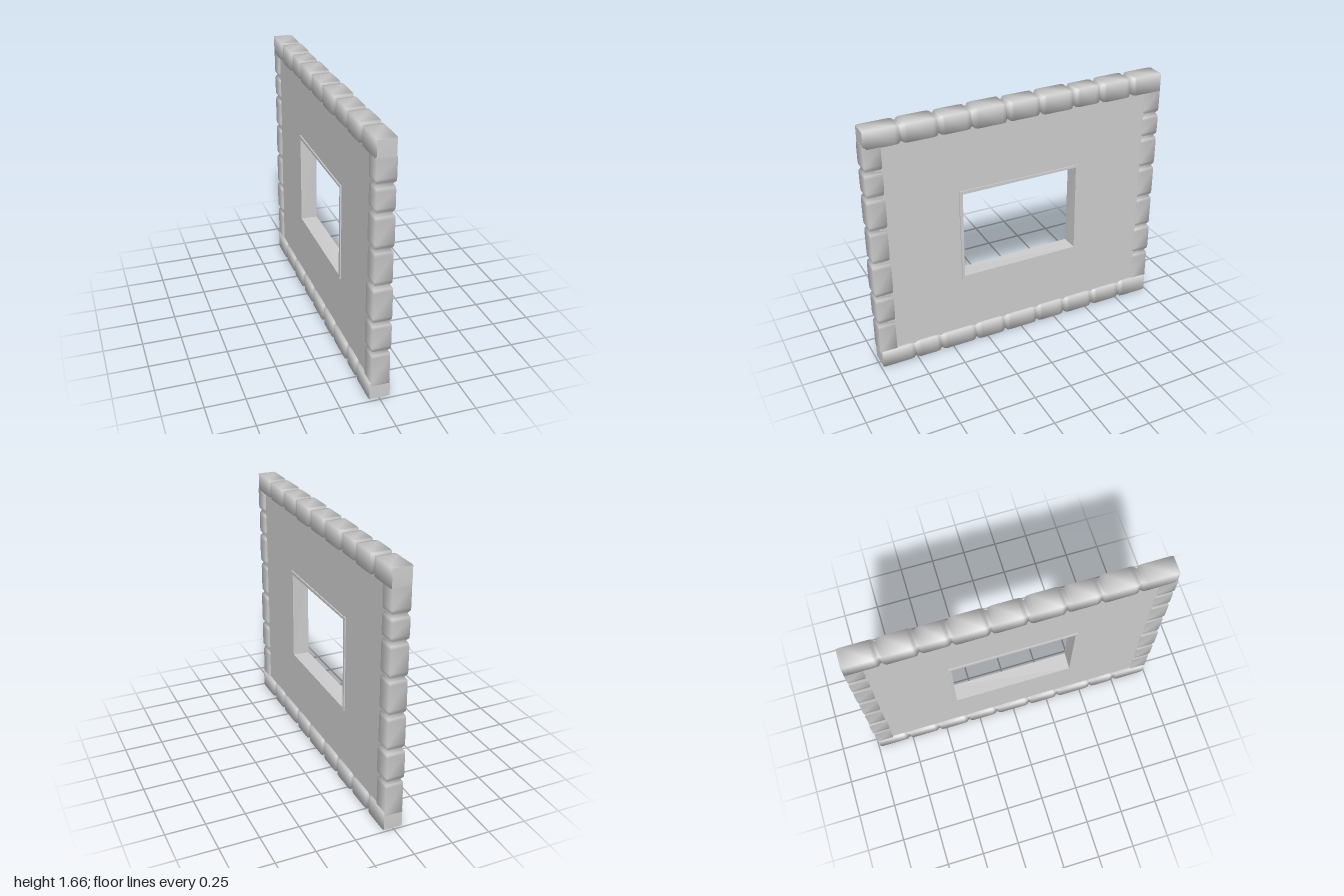
import * as THREE from 'three';

const material = new THREE.MeshStandardMaterial({ color: 0xcccccc, side: THREE.DoubleSide });

// Small seeded wobble for the hand-hewn look
let seed = 7;
const wobble = (a) => {
  seed = (seed * 16807) % 2147483647;
  return (seed / 2147483647 - 0.5) * 2 * a;
};

// Square log running along +y from 0 to length, notched at each joint.
// Section is w (x) by d (z); one shared ring of corners keeps the sides softly shaded.
function logGeometry(w, d, length, joints) {
  const rings = [];
  const stops = [0, ...joints, length];
  for (let i = 0; i < stops.length - 1; i++) {
    const a = stops[i], b = stops[i + 1];
    const hw = w / 2 + wobble(0.003), hd = d / 2 + wobble(0.003);
    const from = i === 0 ? a : a + 0.017;
    const to = i === stops.length - 2 ? b : b - 0.017;
    rings.push([from, hw - 0.002, hd - 0.002], [from + 0.02, hw, hd]);
    rings.push([to - 0.02, hw, hd], [to, hw - 0.002, hd - 0.002]);
    if (i < stops.length - 2) rings.push([b, w / 2 - 0.014, d / 2 - 0.014]);
  }
  const pos = [], index = [];
  const corners = [[1, 1], [1, -1], [-1, -1], [-1, 1]];
  const addRing = ([y, hw, hd]) => corners.forEach(([sx, sz]) => pos.push(sx * hw, y, sz * hd));
  rings.forEach(addRing);
  for (let r = 0; r < rings.length - 1; r++) {
    for (let k = 0; k < 4; k++) {
      const a = r * 4 + k, b = r * 4 + (k + 1) % 4;
      index.push(a, b, b + 4, a, b + 4, a + 4);
    }
  }
  // Slightly crowned end caps with their own corners
  [[rings[0], -0.004], [rings[rings.length - 1], 0.004]].forEach(([ring, crown]) => {
    const s = pos.length / 3;
    addRing(ring);
    pos.push(0, ring[0] + crown, 0);
    for (let k = 0; k < 4; k++) {
      const a = s + k, b = s + (k + 1) % 4;
      if (crown > 0) index.push(a, b, s + 4);
      else index.push(b, a, s + 4);
    }
  });
  const g = new THREE.BufferGeometry();
  g.setAttribute('position', new THREE.Float32BufferAttribute(pos, 3));
  g.setIndex(index);
  g.computeVertexNormals();
  return g;
}

export function createModel() {
  const group = new THREE.Group();
  const add = (name, geometry) => {
    const mesh = new THREE.Mesh(geometry, material);
    mesh.name = name;
    group.add(mesh);
    return mesh;
  };

  // Horizontal beams, running along z
  const beam = (name, w, y, joints) => {
    const half = 0.988;
    const g = logGeometry(w, 0.118, half * 2, joints.map((z) => z + half));
    g.rotateX(Math.PI / 2);
    g.translate(0, y, -half);
    add(name, g);
  };
  beam('bottomBeam', 0.13, 0.06, [-0.77, -0.55, -0.33, -0.12, 0.12, 0.33, 0.58, 0.76]);
  beam('topBeam', 0.122, 1.595, [-0.77, -0.55, -0.36, -0.13, 0.09, 0.32, 0.53, 0.76]);

  // Upright posts at both ends
  const postBase = 0.1;
  const post = (name, z, joints) => {
    const g = logGeometry(0.114, 0.112, 1.455, joints.map((y) => y - postBase));
    g.translate(0, postBase, z);
    add(name, g);
  };
  post('frontPost', 0.939, [0.33, 0.53, 0.77, 1.0, 1.22, 1.39]);
  post('backPost', -0.936, [0.33, 0.54, 0.77, 1.0, 1.22, 1.38]);

  // Wall panel with the window opening, drawn in z-y and turned to face x
  const rect = (path, a, b, c, d) => path.moveTo(a, b).lineTo(c, b).lineTo(c, d).lineTo(a, d).closePath();
  const shape = new THREE.Shape();
  rect(shape, -0.93, 0.07, 0.93, 1.58);
  const hole = new THREE.Path();
  rect(hole, -0.405, 0.51, 0.405, 1.125);
  shape.holes.push(hole);
  const panel = new THREE.ExtrudeGeometry(shape, { depth: 0.094, bevelEnabled: false });
  panel.translate(0, 0, -0.047);
  panel.rotateY(-Math.PI / 2);
  add('wallPanel', panel);

  // Window lining boards, slightly uneven at the corners
  const board = (name, h, d, y, z) => {
    const g = new THREE.BoxGeometry(0.11, h, d).toNonIndexed();
    const p = g.attributes.position;
    for (let i = 0; i < p.count; i++) {
      const [sx, sy, sz] = [p.getX(i), p.getY(i), p.getZ(i)].map(Math.sign);
      const bend = 0.002 * sx * sy * sz;
      if (h < d) p.setY(i, p.getY(i) + bend);
      else p.setZ(i, p.getZ(i) + bend);
    }
    g.computeVertexNormals();
    g.translate(0, y, z);
    add(name, g);
  };
  board('windowSill', 0.019, 0.82, 0.512, 0);
  board('windowHead', 0.019, 0.82, 1.125, 0);
  board('windowJambFront', 0.636, 0.019, 0.819, 0.407);
  board('windowJambBack', 0.636, 0.019, 0.819, -0.402);

  return group;
}
